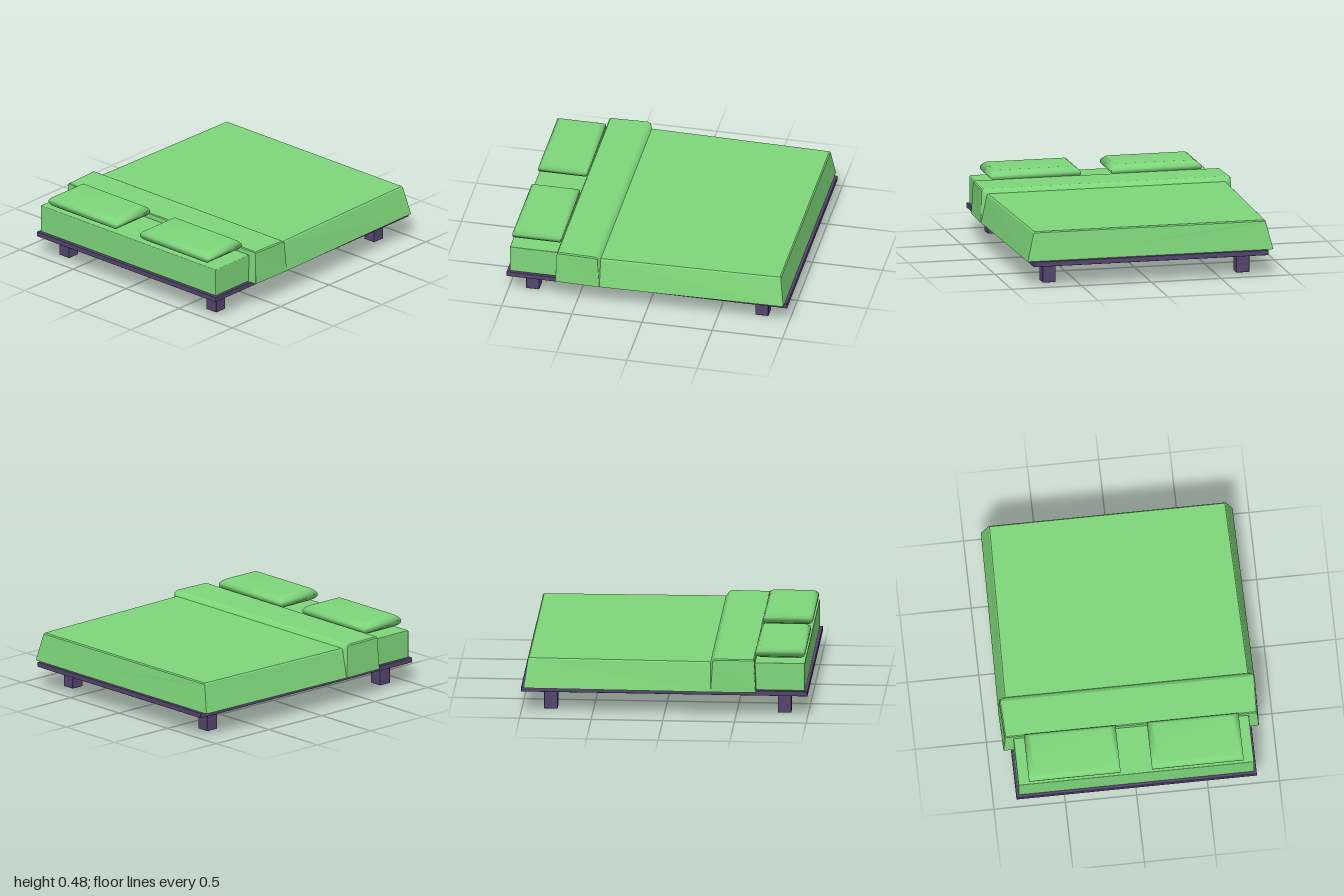
import * as THREE from 'three';
import { RoundedBoxGeometry } from 'three/addons/geometries/RoundedBoxGeometry.js';

const fabric = new THREE.MeshStandardMaterial({ color: 0x7ed67a });
const fabricFlat = new THREE.MeshStandardMaterial({ color: 0x7ed67a, flatShading: true });
const wood = new THREE.MeshStandardMaterial({ color: 0x54456e });

// Skin between cross-sections with equal point counts, capped at both ends.
function loft(rings) {
  const n = rings[0].length;
  const last = (rings.length - 1) * n;
  const index = [];
  for (let r = 0; r < rings.length - 1; r++) {
    for (let i = 0; i < n; i++) {
      const a = r * n + i, b = r * n + (i + 1) % n;
      index.push(a, b, b + n, a, b + n, a + n);
    }
  }
  for (let i = 1; i < n - 1; i++) {
    index.push(0, i + 1, i, last, last + i, last + i + 1);
  }
  const geometry = new THREE.BufferGeometry();
  geometry.setAttribute('position', new THREE.Float32BufferAttribute(rings.flat(2), 3));
  geometry.setIndex(index);
  geometry.computeVertexNormals();
  return geometry;
}

// Box given by its minimum and maximum corners.
function box(name, material, [x0, y0, z0], [x1, y1, z1], radius) {
  const geometry = new RoundedBoxGeometry(x1 - x0, y1 - y0, z1 - z0, 1, radius);
  const mesh = new THREE.Mesh(geometry, material);
  mesh.name = name;
  mesh.position.set((x0 + x1) / 2, (y0 + y1) / 2, (z0 + z1) / 2);
  return mesh;
}

// Blanket: bottom x, top x, top y, half width at bottom, half width at top.
function createBlanket() {
  const bottom = 0.185, bevel = 0.008;
  const sections = [
    [-0.642, -0.632, 0.415, 0.893, 0.882],
    [-0.64, -0.625, 0.42, 0.895, 0.885],
    [-0.33, -0.36, 0.42, 0.902, 0.895],
    [-0.327, -0.342, 0.41, 0.902, 0.892],
    [-0.325, -0.325, 0.39, 0.9, 0.858],
    [0.972, 0.945, 0.39, 0.881, 0.832],
    [0.98, 0.953, 0.382, 0.88, 0.832],
  ];
  const rings = sections.map(([xb, xt, y, wb, wt]) => [
    [xb, bottom, wb], [xb, bottom, -wb],
    [xt, y - bevel, -wt], [xt, y, -wt + bevel],
    [xt, y, wt - bevel], [xt, y - bevel, wt],
  ]);
  const mesh = new THREE.Mesh(loft(rings), fabricFlat);
  mesh.name = 'blanket';
  return mesh;
}

// Pillow: stacked rectangles given as height, inset in x, inset in z.
function createPillow(side) {
  const layers = [
    [0.39, 0.035, 0.045], [0.405, 0.012, 0.022], [0.425, 0, 0.002],
    [0.445, 0, 0.002], [0.465, 0.012, 0.022], [0.48, 0.035, 0.045],
  ];
  const rings = layers.map(([y, dx, dz]) => {
    const w = 0.173 - dx, d = 0.323 - dz;
    return [[w, y, d], [w, y, -d], [-w, y, -d], [-w, y, d]];
  });
  const mesh = new THREE.Mesh(loft(rings), fabric);
  mesh.name = side > 0 ? 'frontPillow' : 'backPillow';
  mesh.position.set(-0.804, 0, side * 0.431);
  return mesh;
}

export function createModel() {
  const bed = new THREE.Group();
  bed.name = 'bed';

  // Frame
  bed.add(box('bedBase', wood, [-1, 0.148, -0.842], [1, 0.184, 0.842], 0.004));
  for (const x of [-0.834, 0.798]) {
    for (const z of [-0.694, 0.694]) {
      bed.add(box('leg', wood, [x - 0.047, 0, z - 0.047], [x + 0.047, 0.15, z + 0.047], 0.004));
    }
  }

  // Bedding
  bed.add(box('mattress', fabric, [-0.98, 0.184, -0.825], [0.93, 0.382, 0.825], 0.006));
  bed.add(createBlanket());
  for (const side of [-1, 1]) bed.add(createPillow(side));

  return bed;
}
